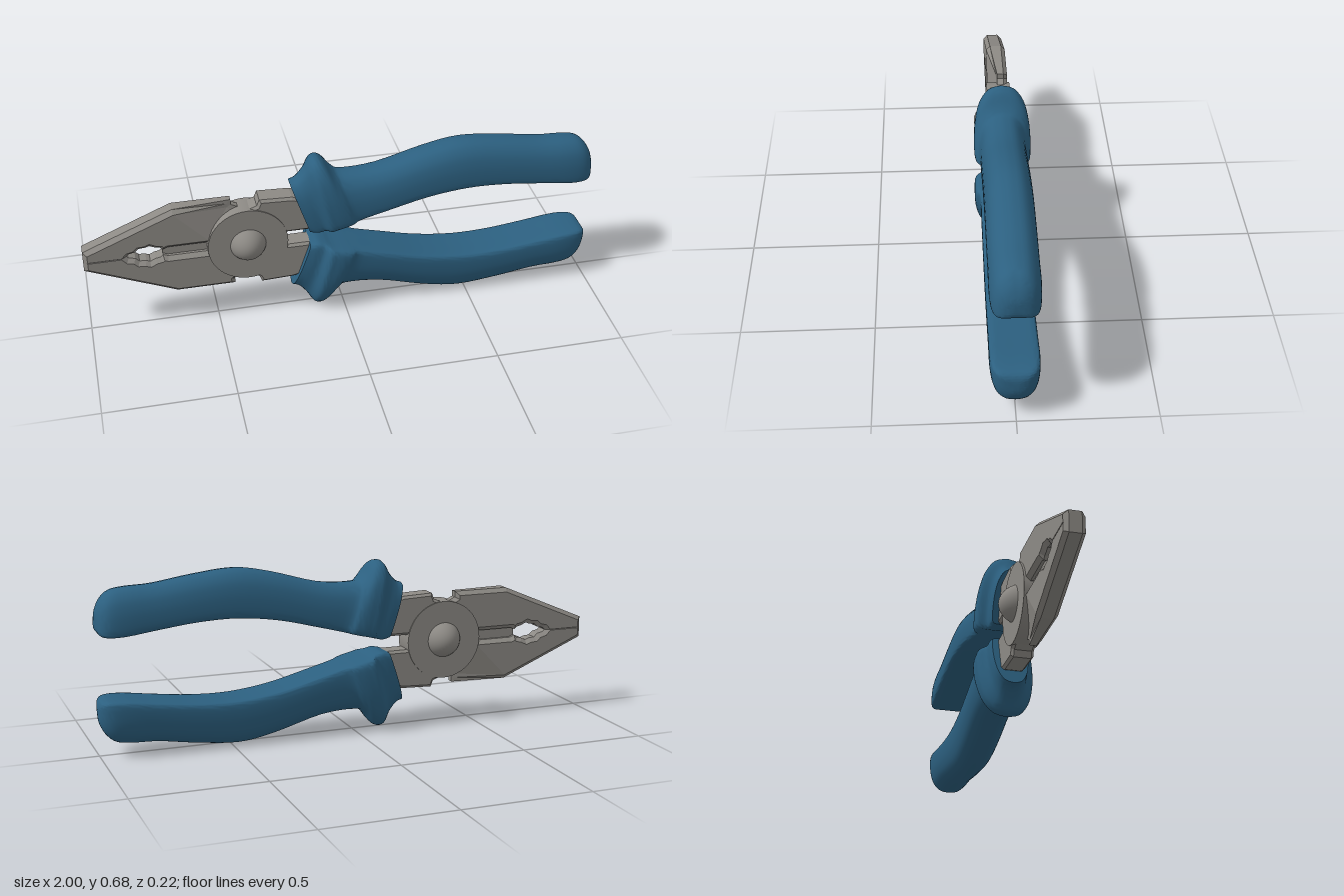
import * as THREE from 'three';
import { toCreasedNormals } from 'three/addons/utils/BufferGeometryUtils.js';

const MID = 0.3375; // height of the line between the two halves
const PIVOT_X = -0.375;

const steel = new THREE.MeshStandardMaterial({ color: 0x8d8a85 });
steel.name = 'steel';
const grip = new THREE.MeshStandardMaterial({ color: 0x2c6080 });
grip.name = 'blueGrip';

function part(name, geometry, material) {
  const mesh = new THREE.Mesh(geometry, material);
  mesh.name = name;
  return mesh;
}

// Bevelled plate whose outline and depth include the bevel
function plate(points, depth, bevel) {
  const shape = new THREE.Shape(points.map(([x, y]) => new THREE.Vector2(x, y)));
  const g = new THREE.ExtrudeGeometry(shape, {
    depth: depth - 2 * bevel, bevelThickness: bevel, bevelSize: bevel,
    bevelOffset: -bevel, bevelSegments: 1,
  });
  return g.translate(0, 0, bevel - depth / 2);
}

// Jaw with half of the pipe-grip opening; its front face ramps down to the joint
function jawGeometry() {
  const g = plate([
    [-1, -0.014], [-0.85, -0.014], [-0.83, 0.008], [-0.805, 0.014], [-0.79, 0.028],
    [-0.765, 0.03], [-0.75, 0.036], [-0.73, 0.026], [-0.71, 0.022], [-0.7, 0.012],
    [-0.68, 0.02], [-0.53, 0.02], [-0.5, -0.01], [-0.4, -0.01], [-0.4, 0.15],
    [-0.43, 0.165], [-0.43, 0.1875], [-0.655, 0.1875], [-1, 0.042],
  ], 0.078, 0.016);
  const p = g.attributes.position;
  for (let i = 0; i < p.count; i++) {
    if (p.getZ(i) > 0 && p.getY(i) > 0.1 && p.getX(i) > -0.6) p.setZ(i, p.getZ(i) * 0.12);
  }
  g.computeVertexNormals();
  return g;
}

// Neck that joins the pivot to the grip
function neckGeometry() {
  return plate([
    [-0.4, 0.05], [-0.25, 0.03], [-0.1, 0.03], [-0.08, 0.14], [-0.15, 0.17],
    [-0.2, 0.185], [-0.325, 0.19], [-0.335, 0.165], [-0.4, 0.14],
  ], 0.086, 0.01);
}

// Grip: slanted D-shaped rings [outer x, outer y, inner x, inner y, half width]
function gripGeometry() {
  const rings = [
    [-0.205, 0.575, -0.135, 0.368, 0.068], [-0.18, 0.585, -0.105, 0.363, 0.073],
    [-0.15, 0.62, -0.075, 0.37, 0.078], [-0.125, 0.66, -0.055, 0.378, 0.105],
    [-0.1, 0.67, -0.03, 0.385, 0.108], [-0.075, 0.655, 0, 0.392, 0.108],
    [-0.04, 0.61, 0.03, 0.4, 0.103], [0, 0.592, 0.06, 0.408, 0.089],
    [0.14, 0.6, 0.16, 0.435, 0.088], [0.33, 0.652, 0.32, 0.475, 0.088],
    [0.47, 0.675, 0.48, 0.495, 0.088], [0.63, 0.66, 0.63, 0.492, 0.088],
    [0.78, 0.637, 0.78, 0.475, 0.088], [0.88, 0.632, 0.89, 0.46, 0.088],
    [0.94, 0.622, 0.955, 0.457, 0.081], [0.975, 0.592, 0.985, 0.463, 0.064],
    [0.994, 0.555, 0.997, 0.48, 0.038], [1, 0.53, 1, 0.5, 0.006],
  ];
  const curve = (f) => new THREE.CatmullRomCurve3(rings.map(f), false, 'catmullrom', 0.5);
  const outer = curve((r) => new THREE.Vector3(r[0], r[1], r[4]));
  const inner = curve((r) => new THREE.Vector3(r[2], r[3], r[4]));

  // Flat inside, rounded back
  const half = new THREE.SplineCurve([
    [0, 0], [0.7, 0], [0.93, 0.025], [1, 0.12], [1, 0.35], [0.94, 0.57],
    [0.78, 0.79], [0.45, 0.955], [0, 1],
  ].map(([z, t]) => new THREE.Vector2(z, t))).getPoints(24);
  const section = [
    ...half,
    ...half.slice(1, -1).reverse().map((v) => new THREE.Vector2(-v.x, v.y)),
  ];

  const n = section.length;
  const steps = (rings.length - 1) * 4;
  const pos = [];
  const index = [];
  const addRing = (a, b, w, flat) => section.forEach((s) => {
    const t = flat ? 0.5 : s.y;
    pos.push(b.x + (a.x - b.x) * t, b.y + (a.y - b.y) * t, flat ? 0 : s.x * w);
  });
  for (let i = -1; i <= steps + 1; i++) {
    const u = THREE.MathUtils.clamp(i / steps, 0, 1);
    const a = outer.getPoint(u);
    addRing(a, inner.getPoint(u), a.z, i < 0 || i > steps);
  }
  for (let i = 0; i < steps + 2; i++) {
    for (let j = 0; j < n; j++) {
      const k = (j + 1) % n;
      const a = i * n + j, b = i * n + k, c = a + n, d = b + n;
      if (i > 0) index.push(a, c, b);
      if (i < steps + 1) index.push(b, c, d);
      if (i === 0) index.push(a, c, d);
    }
  }
  // Keep only one triangle per end fan segment
  const tris = [];
  for (let i = 0; i < index.length; i += 3) {
    const [a, b, c] = index.slice(i, i + 3);
    const p = [a, b, c].map((v) => new THREE.Vector3().fromArray(pos, v * 3));
    if (new THREE.Triangle(...p).getArea() > 1e-10) tris.push(a, b, c);
  }
  const g = new THREE.BufferGeometry();
  g.setAttribute('position', new THREE.Float32BufferAttribute(pos, 3));
  g.setIndex(tris);
  return toCreasedNormals(g.translate(0, -MID, 0), 0.65);
}

export function createModel() {
  const model = new THREE.Group();
  model.name = 'pliers';

  const jaw = jawGeometry();
  const neck = neckGeometry();
  const handle = gripGeometry();

  // The lower half is the upper one turned over about the long axis
  ['upperHalf', 'lowerHalf'].forEach((name, i) => {
    const half = new THREE.Group();
    half.name = name;
    half.add(part('jaw', jaw, steel), part('neck', neck, steel), part('grip', handle, grip));
    half.rotation.x = i * Math.PI;
    half.position.y = MID;
    model.add(half);
  });

  // Joint disc, domed rivet and the recessed cutter behind the jaw slot
  const disc = part('jointDisc',
    toCreasedNormals(new THREE.CylinderGeometry(0.155, 0.155, 0.094, 48).rotateX(Math.PI / 2), 0.6), steel);
  disc.position.set(PIVOT_X, MID, 0);
  const rivet = part('rivet', new THREE.SphereGeometry(0.078, 40, 28), steel);
  rivet.scale.z = 1.3;
  rivet.position.set(PIVOT_X, MID, 0);
  const cutter = part('cutter', new THREE.BoxGeometry(0.19, 0.07, 0.024), steel);
  cutter.position.set(-0.605, MID, 0);
  model.add(disc, rivet, cutter);

  return model;
}
